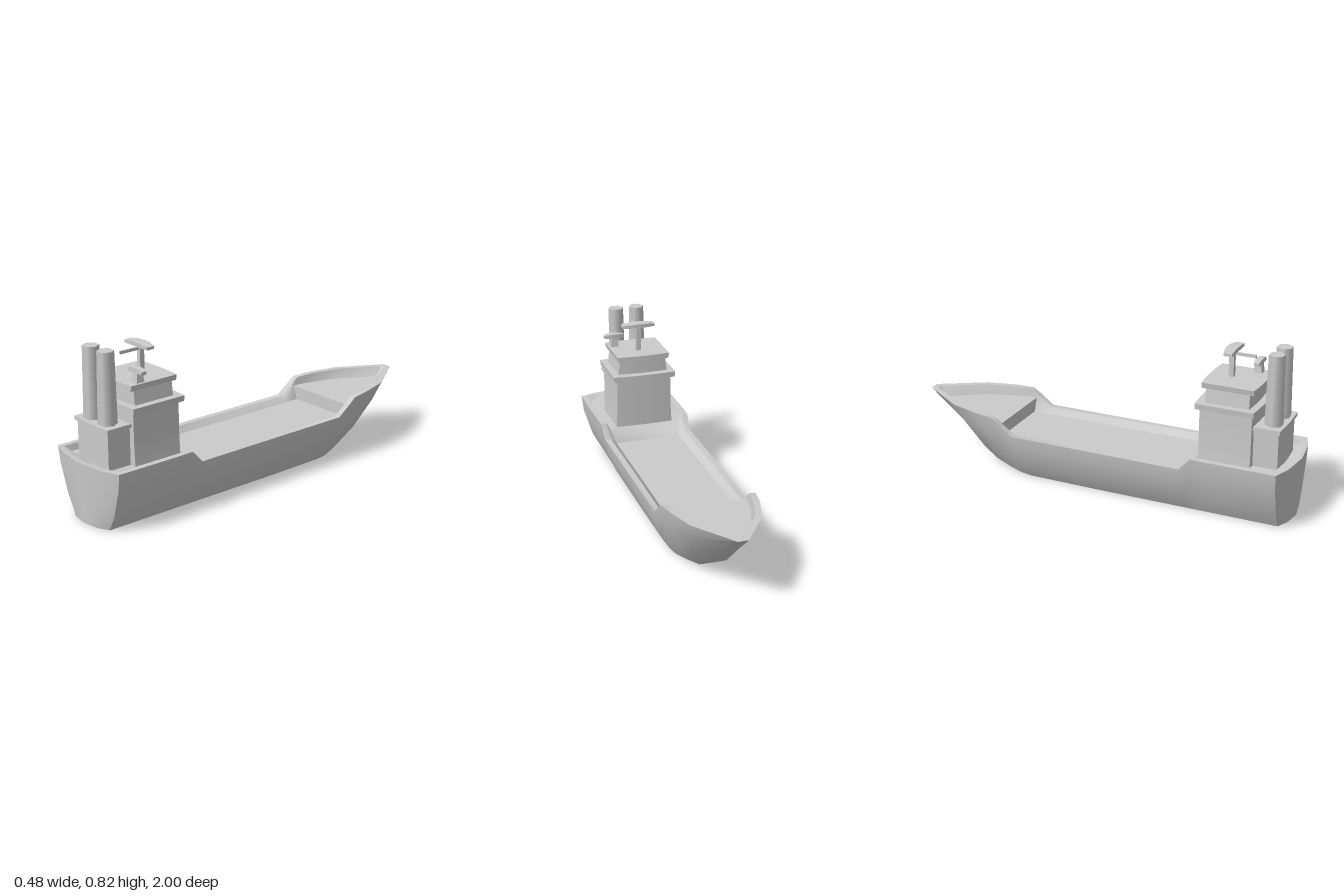
import * as THREE from 'three';
import { toCreasedNormals } from 'three/addons/utils/BufferGeometryUtils.js';

const material = new THREE.MeshStandardMaterial({ color: 0xcccccc });

function add(parent, name, geometry, x = 0, y = 0, z = 0) {
  const mesh = new THREE.Mesh(geometry, material);
  mesh.name = name;
  mesh.position.set(x, y, z);
  parent.add(mesh);
  return mesh;
}

// Hull stations, stern to bow:
// rim z, rim y, rim half width, keel z, keel y, keel half width, deck y, deck inset, inner z shift, x scale
const stations = [
  [1.00, 0.305, 0.24, 0.985, 0.004, 0.14, 0.275, 0.04, -0.03, 0],
  [0.982, 0.305, 0.24, 0.97, 0.003, 0.14, 0.275, 0.04, -0.03, 0.62],
  [0.95, 0.305, 0.24, 0.94, 0, 0.14, 0.275, 0.04, -0.015, 1],
  [0.60, 0.305, 0.24, 0.60, 0, 0.14, 0.275, 0.04, 0, 1],
  [0.53, 0.305, 0.237, 0.53, 0, 0.14, 0.275, 0.045, 0, 1],
  [0.47, 0.24, 0.232, 0.47, 0, 0.14, 0.212, 0.06, 0, 1],
  [0.00, 0.24, 0.23, 0.00, 0, 0.14, 0.212, 0.06, 0, 1],
  [-0.42, 0.24, 0.23, -0.36, 0, 0.135, 0.212, 0.06, 0, 1],
  [-0.50, 0.298, 0.23, -0.40, 0.001, 0.13, 0.212, 0.06, 0, 1],
  [-0.50, 0.298, 0.23, -0.40, 0.001, 0.13, 0.28, 0.035, 0, 1],
  [-0.53, 0.32, 0.228, -0.43, 0.003, 0.125, 0.28, 0.035, 0, 1],
  [-0.63, 0.325, 0.213, -0.51, 0.012, 0.10, 0.28, 0.04, 0.005, 1],
  [-0.78, 0.328, 0.17, -0.60, 0.025, 0.065, 0.28, 0.042, 0.01, 1],
  [-1.00, 0.333, 0.026, -0.70, 0.085, 0.012, 0.285, 0.022, 0.03, 1],
  [-1.00, 0.333, 0.026, -0.70, 0.085, 0.012, 0.285, 0.022, 0.03, 0],
];

// One closed ring per station: keel, bilge, shoulder, rim, inner rim, deck, then mirrored
function hullRing([rz, ry, w, kz, ky, b, dy, inset, dz, s]) {
  const { lerp } = THREE.MathUtils;
  const half = [[0, 0], [0.42, 0.25], [0.89, 0.73], [1, 1]].map(([f, t]) =>
    [lerp(b, w, f) * s, lerp(ky, ry, t), lerp(kz, rz, t)]);
  half.push([Math.max(w - 0.03, 0.008) * s, ry, rz + dz]);
  half.push([Math.max(w - inset, 0.004) * s, dy, rz + dz * 2.5]);
  return half.concat(half.slice().reverse().map(([x, y, z]) => [-x, y, z]));
}

function hullGeometry() {
  const rings = stations.map(hullRing);
  const n = rings[0].length;
  const index = [];
  for (let i = 0; i < rings.length - 1; i++) {
    for (let j = 0; j < n; j++) {
      const k = (j + 1) % n;
      const a = i * n + j, b = i * n + k, c = b + n, d = a + n;
      index.push(a, d, c, a, c, b);
    }
  }
  const g = new THREE.BufferGeometry();
  g.setAttribute('position', new THREE.Float32BufferAttribute(rings.flat(2), 3));
  g.setIndex(index);
  return toCreasedNormals(g, 0.7);
}

// Block with gently bowed fore and aft faces; the top half width may differ from the base
function bowedBlock(wBase, wTop, y0, y1, zFore, zAft, bow, layers = 1, flare = 0) {
  const s = new THREE.Shape();
  s.moveTo(-1, -(zFore + bow));
  s.quadraticCurveTo(0, -(zFore - bow), 1, -(zFore + bow));
  s.lineTo(1, -(zAft - bow));
  s.quadraticCurveTo(0, -(zAft + bow), -1, -(zAft - bow));
  const g = new THREE.ExtrudeGeometry(s, { depth: y1 - y0, bevelEnabled: false, steps: layers, curveSegments: 6 });
  g.rotateX(-Math.PI / 2).translate(0, y0, 0);
  const p = g.attributes.position;
  for (let i = 0; i < p.count; i++) {
    const t = (p.getY(i) - y0) / (y1 - y0);
    p.setX(i, p.getX(i) * (THREE.MathUtils.lerp(wBase, wTop, t) + flare * (1 - t) ** 3));
  }
  return toCreasedNormals(g, 0.6);
}

// Flat bar whose ends are thinner and narrower than its middle
function scannerBar(length, height, depth) {
  const g = new THREE.BoxGeometry(length, height, depth, 4, 1, 1);
  const p = g.attributes.position;
  for (let i = 0; i < p.count; i++) {
    const u = Math.abs(p.getX(i)) / (length / 2);
    if (p.getY(i) > 0) p.setY(i, p.getY(i) - 0.3 * height * u * u);
    if (p.getZ(i) < 0) p.setZ(i, p.getZ(i) + 0.25 * depth * u * u);
  }
  return toCreasedNormals(g, 0.6);
}

export function createModel() {
  const ship = new THREE.Group();
  ship.name = 'cargoShip';
  add(ship, 'hull', hullGeometry());

  // Accommodation block and bridge
  const house = new THREE.Group();
  house.name = 'deckHouse';
  ship.add(house);
  add(house, 'accommodation', bowedBlock(0.144, 0.144, 0.2, 0.53, 0.53, 0.80, 0.006, 6, 0.015));
  add(house, 'bridgeDeck', bowedBlock(0.163, 0.166, 0.53, 0.558, 0.51, 0.815, 0.008));
  add(house, 'bridge', bowedBlock(0.131, 0.122, 0.555, 0.632, 0.55, 0.78, 0.007));
  add(house, 'bridgeRoof', bowedBlock(0.134, 0.139, 0.63, 0.657, 0.532, 0.805, 0.008));

  // Mast with radar bar and aft boom
  const mast = new THREE.Group();
  mast.name = 'radarMast';
  ship.add(mast);
  add(mast, 'mastPost', new THREE.BoxGeometry(0.024, 0.14, 0.024), 0, 0.72, 0.638);
  add(mast, 'radarBar', scannerBar(0.17, 0.02, 0.055), 0, 0.793, 0.638);
  add(mast, 'mastBoom', new THREE.BoxGeometry(0.01, 0.014, 0.12), 0, 0.772, 0.695);

  // Smaller scanner on a tapered pedestal, left side
  const scanner = new THREE.Group();
  scanner.name = 'sideScanner';
  scanner.position.set(0.106, 0, 0.735);
  ship.add(scanner);
  const pedestal = new THREE.CylinderGeometry(0.022, 0.03, 0.05, 4, 1).rotateY(Math.PI / 4);
  add(scanner, 'scannerPedestal', toCreasedNormals(pedestal, 0.5), 0, 0.68, 0);
  add(scanner, 'scannerBar', scannerBar(0.106, 0.022, 0.034), 0, 0.713, 0);

  // Engine casing and twin funnels
  add(ship, 'engineCasing', bowedBlock(0.117, 0.117, 0.26, 0.46, 0.79, 0.922, 0.005));
  add(ship, 'casingTop', bowedBlock(0.13, 0.13, 0.458, 0.476, 0.785, 0.932, 0.006));
  for (const side of [-1, 1]) {
    const funnel = new THREE.CylinderGeometry(0.0395, 0.0455, 0.345, 6).rotateY(Math.PI / 6);
    add(ship, side > 0 ? 'leftFunnel' : 'rightFunnel', funnel, side * 0.056, 0.6475, 0.872);
  }
  return ship;
}
